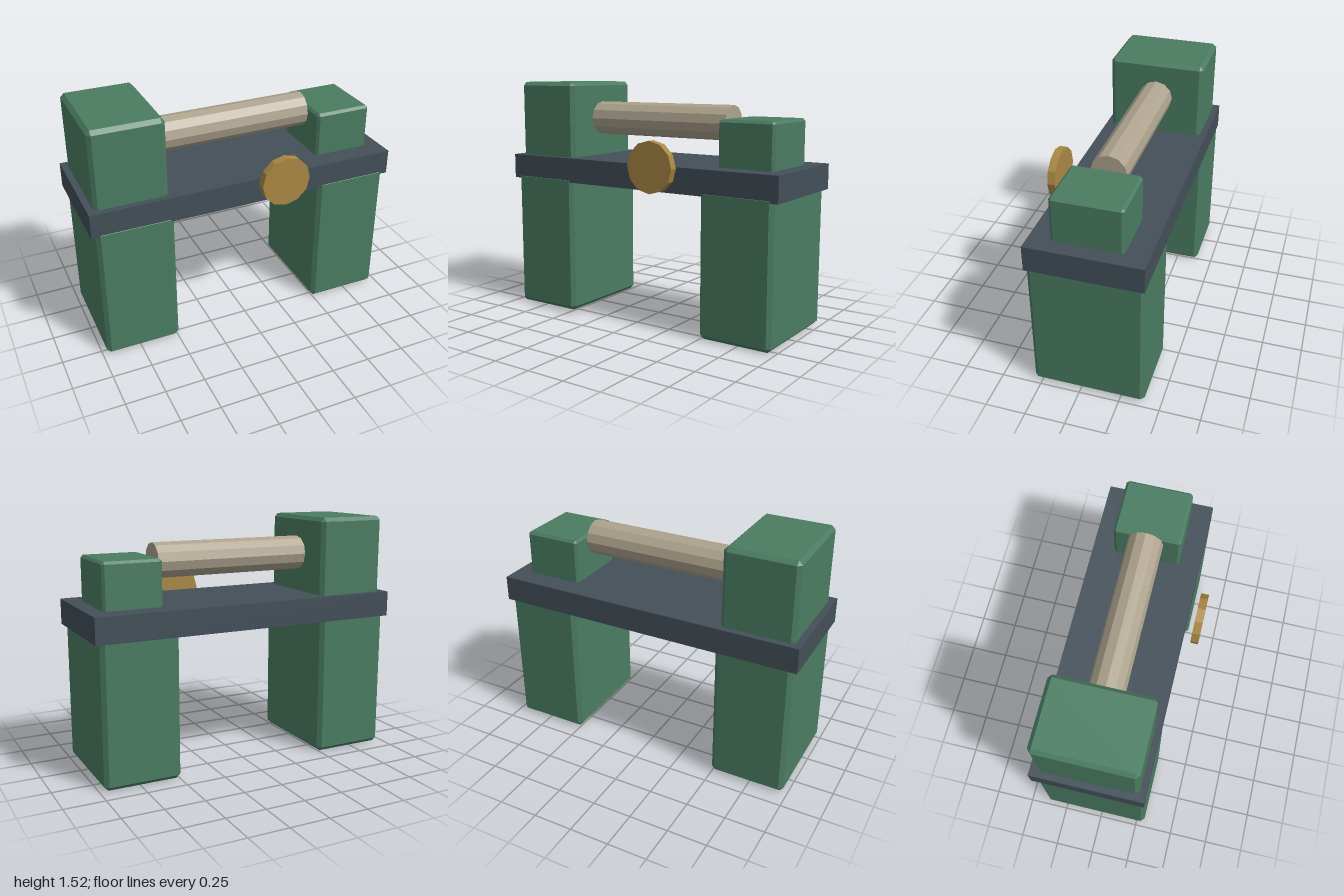
import * as THREE from 'three';
import { ConvexGeometry } from 'three/addons/geometries/ConvexGeometry.js';

const paint = (color) => new THREE.MeshStandardMaterial({ color, flatShading: true });

// Box between two corners with every edge cut by a chamfer c
function chamferBox(min, max, c) {
  const half = max.map((v, i) => (v - min[i]) / 2);
  const points = [];
  for (const sx of [-1, 1]) for (const sy of [-1, 1]) for (const sz of [-1, 1]) {
    for (let axis = 0; axis < 3; axis++) {
      const p = half.map((h, i) => (i === axis ? h : h - c));
      points.push(new THREE.Vector3(sx * p[0], sy * p[1], sz * p[2]));
    }
  }
  const geometry = new ConvexGeometry(points);
  return geometry.translate(...max.map((v, i) => (v + min[i]) / 2));
}

export function createModel() {
  const model = new THREE.Group();
  const green = paint(0x4a7c62);
  const add = (name, geometry, material) => {
    const mesh = new THREE.Mesh(geometry, material);
    mesh.name = name;
    model.add(mesh);
    return mesh;
  };

  // Legs, reaching a little into the slab
  for (const [name, x] of [['rightLeg', -0.73], ['leftLeg', 0.73]]) {
    add(name, chamferBox([x - 0.24, 0, -0.397], [x + 0.24, 0.91, 0.302], 0.025), green);
  }

  // Slab
  add('slab', new THREE.BoxGeometry(2, 0.16, 0.7), paint(0x434f58)).position.set(0, 0.953, -0.05);

  // Blocks standing on the slab
  add('tallBlock', chamferBox([-0.96, 1.0, -0.36], [-0.505, 1.525, 0.26], 0.024), green);
  add('shortBlock', chamferBox([0.535, 1.0, -0.26], [0.905, 1.317, 0.168], 0.016), green);

  // Rod leaving the tall block
  const rod = add('rod', new THREE.CylinderGeometry(0.11, 0.11, 1.04, 12), paint(0xada38d));
  rod.rotation.z = Math.PI / 2;
  rod.position.set(0, 1.284, -0.05);

  // Disc in front of the slab
  const disc = add('disc', new THREE.CylinderGeometry(0.16, 0.16, 0.05, 12), paint(0xaa8843));
  disc.rotation.x = Math.PI / 2;
  disc.position.set(0.2, 1.032, 0.375);

  return model;
}
